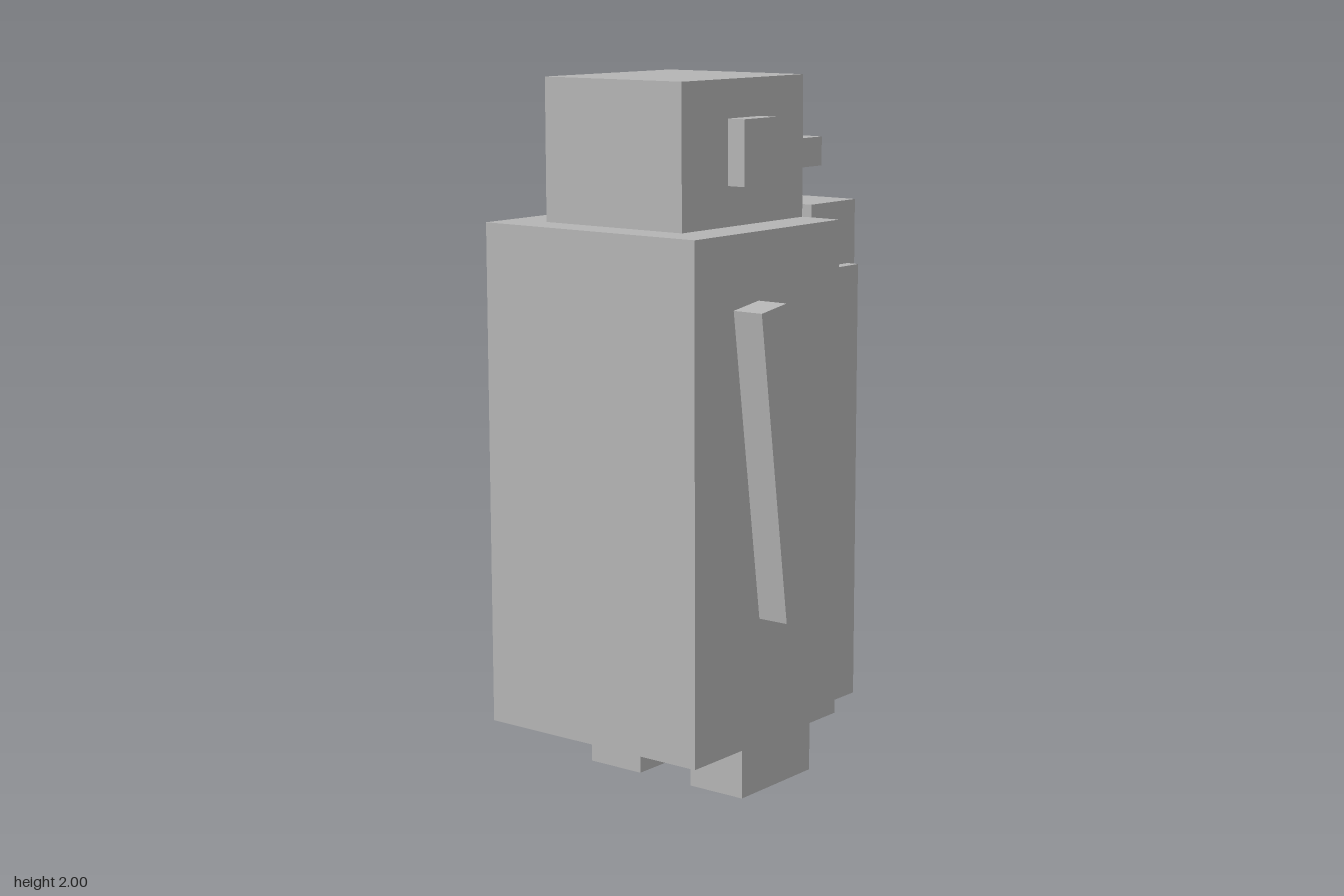
import * as THREE from 'three';

export function createModel() {
  const model = new THREE.Group();
  model.name = 'penguin';
  const grey = new THREE.MeshStandardMaterial({ color: 0xb4b4b4 });
  grey.name = 'grey';

  // Box given by its limits on each axis
  function block(name, [x0, x1], [y0, y1], [z0, z1]) {
    const mesh = new THREE.Mesh(new THREE.BoxGeometry(x1 - x0, y1 - y0, z1 - z0), grey);
    mesh.position.set((x0 + x1) / 2, (y0 + y1) / 2, (z0 + z1) / 2);
    mesh.name = name;
    model.add(mesh);
    return mesh;
  }

  // Trunk and head; the bird looks along +x
  block('body', [-0.507, 0.143], [0.187, 1.605], [-0.362, 0.362]);
  block('belly', [0.143, 0.343], [0.187, 1.457], [-0.29, 0.29]);
  block('chest', [0.163, 0.378], [1.275, 1.638], [-0.253, 0.253]);
  block('head', [-0.4, 0.143], [1.605, 2], [-0.236, 0.236]);

  // Beak
  block('upperBeak', [0.143, 0.507], [1.715, 1.8], [-0.045, 0.045]);
  block('lowerBeak', [0.163, 0.378], [1.657, 1.715], [-0.045, 0.045]);

  // Mirrored eyes, flippers and feet
  for (const [side, s] of [['right', 1], ['left', -1]]) {
    const span = (a, b) => (s > 0 ? [a, b] : [-b, -a]);
    block(side + 'Eye', [-0.2, -0.057], [1.715, 1.895], span(0.236, 0.291));
    block(side + 'Foot', [-0.182, 0.143], [0, 0.187], span(0.092, 0.275));
    const flipper = block(side + 'Flipper', [-0.281, -0.17], [0.547, 1.416], span(0.362, 0.454));
    flipper.rotation.z = 0.138;
  }
  return model;
}
